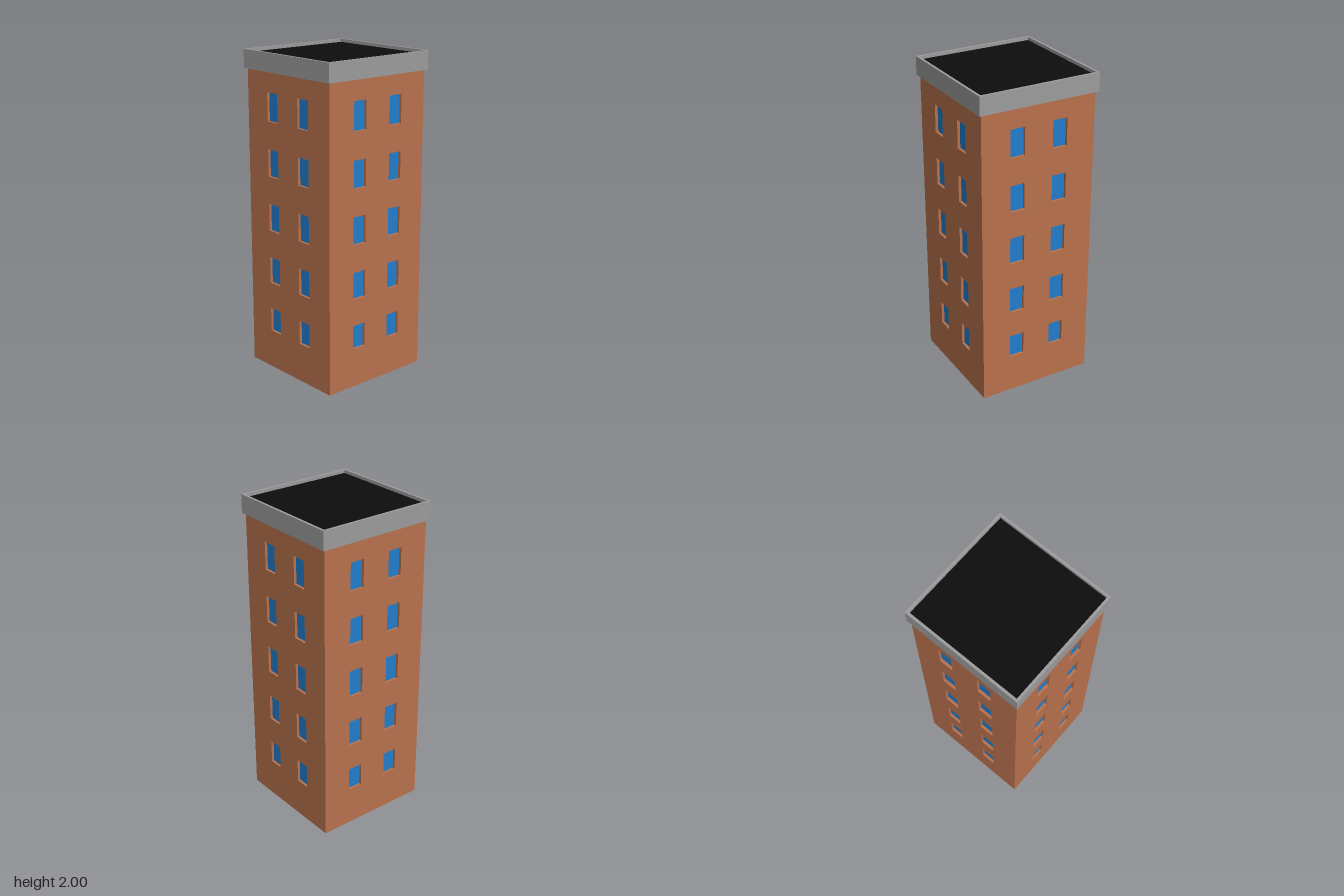
import * as THREE from 'three';

const HALF = 0.373;      // half width of the tower
const CAP = 0.389;       // half width of the parapet
const RECESS = 0.018;    // depth of the window reveals
const WALL_TOP = 1.885;
const ROOF_Y = 1.98;
const WINDOW_X = 0.14, WINDOW_W = 0.095;
const ROWS = [[0.246, 0.397], [0.567, 0.734], [0.906, 1.078], [1.248, 1.417], [1.587, 1.762]];

const paint = (color) => new THREE.MeshStandardMaterial({ color, flatShading: true });

// Traces a rectangle on a Shape or Path
function rect(path, x0, y0, x1, y1) {
  path.moveTo(x0, y0);
  path.lineTo(x1, y0);
  path.lineTo(x1, y1);
  path.lineTo(x0, y1);
  path.closePath();
  return path;
}

function addMesh(parent, name, geometry, material) {
  const mesh = new THREE.Mesh(geometry, material);
  mesh.name = name;
  parent.add(mesh);
  return mesh;
}

export function createModel() {
  const model = new THREE.Group();
  model.name = 'towerBlock';
  const brick = paint(0xb8724d);
  const glass = paint(0x217dcc);
  const concrete = paint(0x9c9c9c);
  const tar = paint(0x0d0d0d);

  // Four facades, each a wall panel with window openings and set-back panes
  ['front', 'left', 'back', 'right'].forEach((side, i) => {
    const facade = new THREE.Group();
    facade.name = side + 'Facade';
    facade.rotation.y = i * Math.PI / 2;
    // The side panels fit between the front and back ones
    const w = i % 2 ? HALF - RECESS : HALF;
    const wall = rect(new THREE.Shape(), -w, 0, w, WALL_TOP);
    for (const [y0, y1] of ROWS) {
      for (const x of [-WINDOW_X, WINDOW_X]) {
        wall.holes.push(rect(new THREE.Path(), x - WINDOW_W / 2, y0, x + WINDOW_W / 2, y1));
        const pane = addMesh(facade, 'windowPane', new THREE.PlaneGeometry(WINDOW_W, y1 - y0), glass);
        pane.position.set(x, (y0 + y1) / 2, HALF - RECESS + 0.001);
      }
    }
    const panel = new THREE.ExtrudeGeometry(wall, { depth: RECESS, bevelEnabled: false });
    addMesh(facade, 'wall', panel, brick).position.z = HALF - RECESS;
    model.add(facade);
  });

  // Underside of the tower
  const inner = 2 * (HALF - RECESS);
  addMesh(model, 'floor', new THREE.PlaneGeometry(inner, inner), brick).rotation.x = Math.PI / 2;

  // Parapet ring around the sunken roof
  const ring = rect(new THREE.Shape(), -CAP, -CAP, CAP, CAP);
  ring.holes.push(rect(new THREE.Path(), -HALF, -HALF, HALF, HALF));
  const parapet = addMesh(model, 'parapet',
    new THREE.ExtrudeGeometry(ring, { depth: 2 - WALL_TOP, bevelEnabled: false }), concrete);
  parapet.rotation.x = -Math.PI / 2;
  parapet.position.y = WALL_TOP;

  const roof = addMesh(model, 'roof', new THREE.PlaneGeometry(2 * HALF, 2 * HALF), tar);
  roof.rotation.x = -Math.PI / 2;
  roof.position.y = ROOF_Y;

  return model;
}
